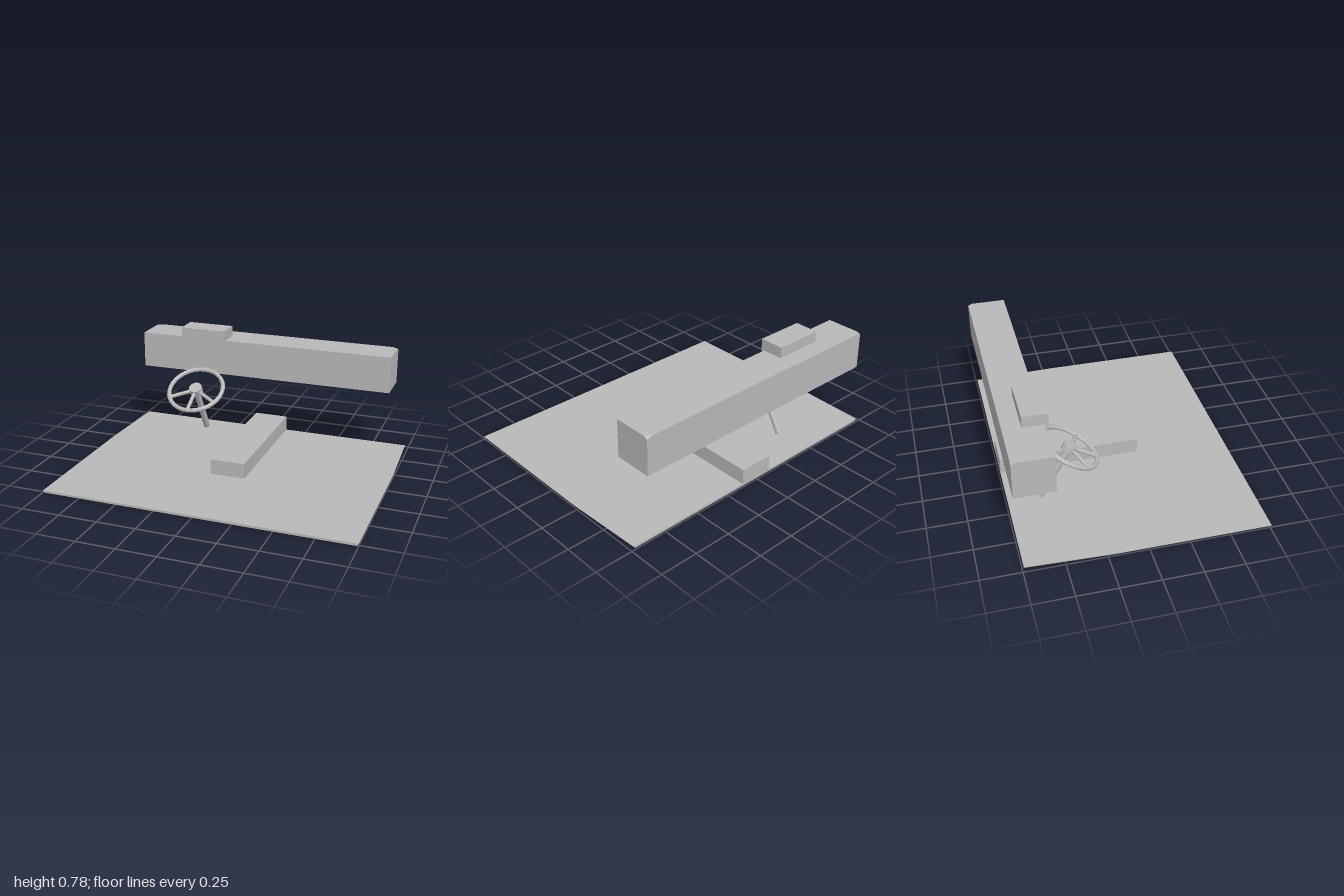
import * as THREE from 'three';
import { ConvexGeometry } from 'three/addons/geometries/ConvexGeometry.js';

const grey = new THREE.MeshStandardMaterial({ color: 0xb8b8b8, flatShading: true });
grey.name = 'plain grey';

function part(name, geometry, parent) {
  const mesh = new THREE.Mesh(geometry, grey);
  mesh.name = name;
  parent.add(mesh);
  return mesh;
}

// Box given by its lower and upper corner
function block(name, [x0, y0, z0], [x1, y1, z1], parent) {
  const mesh = part(name, new THREE.BoxGeometry(x1 - x0, y1 - y0, z1 - z0), parent);
  mesh.position.set((x0 + x1) / 2, (y0 + y1) / 2, (z0 + z1) / 2);
  return mesh;
}

// Thin floor, narrowing towards the back, its underside slightly inset at the sides
function floorGeometry() {
  const outline = [[-1, -0.76], [1, -0.76], [1, 0.2], [0.978, 0.74], [-0.978, 0.74], [-1, 0.2]];
  const shape = new THREE.Shape(outline.map(([x, y]) => new THREE.Vector2(x, y)));
  const geometry = new THREE.ExtrudeGeometry(shape, { depth: 0.014, bevelEnabled: false });
  geometry.rotateX(-Math.PI / 2);
  const pos = geometry.attributes.position;
  for (let i = 0; i < pos.count; i++) {
    if (pos.getY(i) < 0.007) pos.setX(i, pos.getX(i) * 0.99);
  }
  geometry.computeVertexNormals();
  return geometry;
}

// Dashboard beam with the two upper back corners clipped
function dashboardGeometry() {
  const points = [];
  for (const s of [-1, 1]) {
    const add = (x, y, z) => points.push(new THREE.Vector3(s * x, y, z));
    add(0.886, 0.46, -0.515);
    add(0.886, 0.705, -0.515);
    add(0.886, 0.46, -0.762);
    add(0.886, 0.705, -0.737);
    add(0.886, 0.693, -0.762);
    add(0.846, 0.705, -0.762);
  }
  return new ConvexGeometry(points);
}

// Steering wheel built around its own y axis, then tilted towards the driver
function steering() {
  const group = new THREE.Group();
  group.name = 'steeringWheel';
  const radius = 0.19;

  part('rim', new THREE.TorusGeometry(radius, 0.015, 8, 32).rotateX(Math.PI / 2), group);
  part('hub', new THREE.CylinderGeometry(0.045, 0.045, 0.045, 20), group);

  for (const degrees of [-60, 0, 60]) {
    const spoke = part('spoke', new THREE.CylinderGeometry(0.013, 0.013, radius, 8)
      .rotateX(Math.PI / 2).translate(0, 0, radius / 2), group);
    spoke.rotation.y = THREE.MathUtils.degToRad(degrees);
  }

  const length = 0.387;
  part('steeringColumn', new THREE.CylinderGeometry(0.022, 0.022, length, 12)
    .translate(0, -length / 2, 0), group);

  group.position.set(-0.424, 0.384, -0.347);
  group.rotation.x = Math.PI / 6;
  return group;
}

export function createModel() {
  const model = new THREE.Group();
  model.name = 'cockpit';
  part('floor', floorGeometry(), model);
  part('dashboard', dashboardGeometry(), model);
  block('instrumentHood', [-0.585, 0.686, -0.648], [-0.267, 0.776, -0.492], model);
  block('centreTunnel', [-0.115, 0.005, -0.739], [0.115, 0.115, 0.168], model);
  model.add(steering());
  return model;
}
